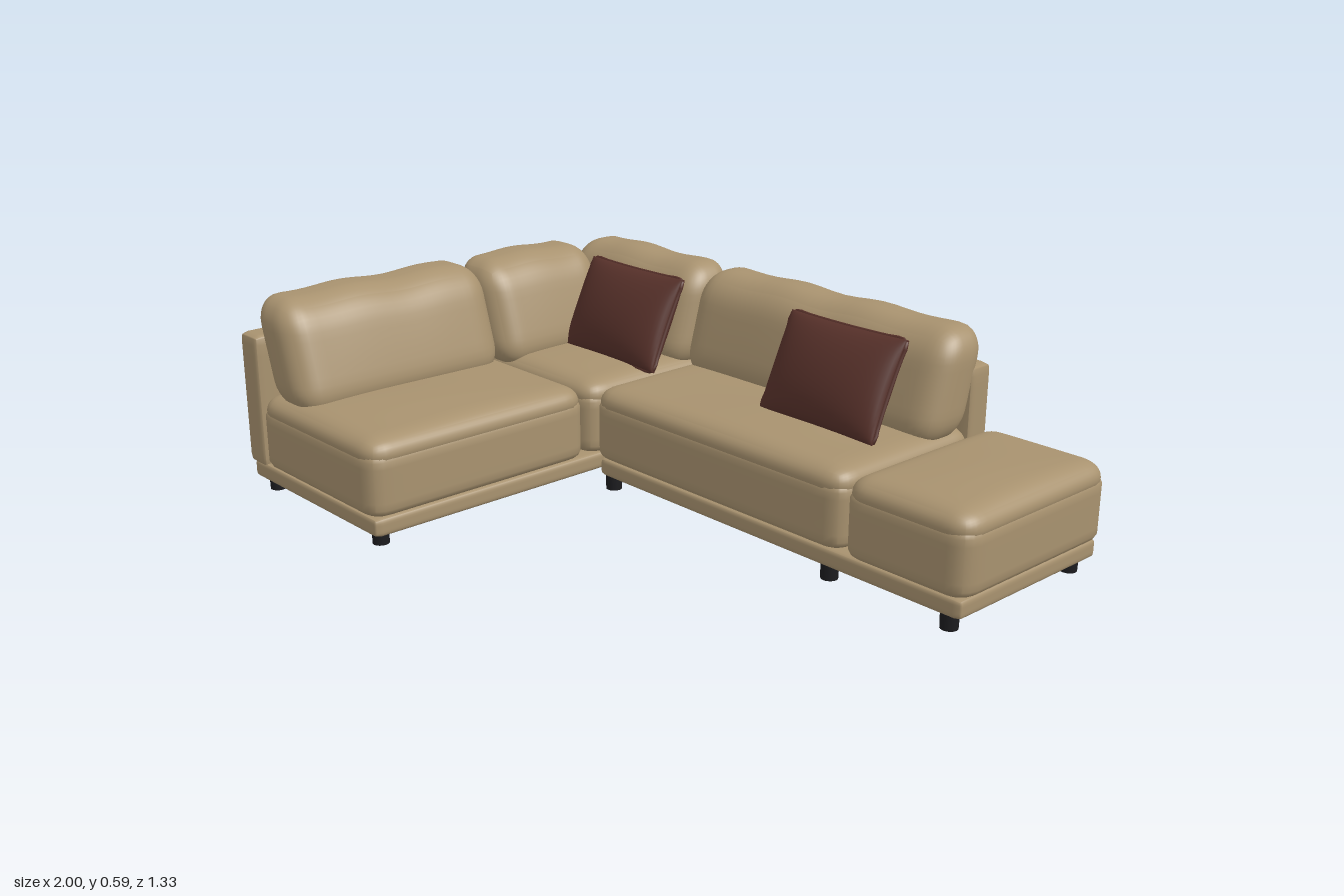
import * as THREE from 'three';
import { mergeVertices } from 'three/addons/utils/BufferGeometryUtils.js';

const fabric = new THREE.MeshStandardMaterial({ color: 0xa8926f });
fabric.name = 'tan upholstery';
const accent = new THREE.MeshStandardMaterial({ color: 0x57312a });
accent.name = 'dark brown pillow';
const legPaint = new THREE.MeshStandardMaterial({ color: 0x1c1c1f });
legPaint.name = 'black leg';

// Box grid with vertices crowded towards the edges, moved by rule(p, u), u being -1..1 on each axis
function shapedBox(size, segs, rule) {
  let geo = new THREE.BoxGeometry(2, 2, 2, ...segs);
  geo.deleteAttribute('uv');
  geo.deleteAttribute('normal');
  geo = mergeVertices(geo, 1e-5);
  const pos = geo.attributes.position;
  const u = new THREE.Vector3(), p = new THREE.Vector3();
  for (let i = 0; i < pos.count; i++) {
    u.fromBufferAttribute(pos, i);
    for (const a of ['x', 'y', 'z']) u[a] = Math.sin(u[a] * Math.PI / 2);
    p.set(u.x * size[0] / 2, u.y * size[1] / 2, u.z * size[2] / 2);
    rule(p, u);
    pos.setXYZ(i, p.x, p.y, p.z);
  }
  geo.computeVertexNormals();
  return geo;
}

// Softly rounded block with a separate corner radius on each axis
function softBox(size, radius, segs, extra = () => {}) {
  const half = new THREE.Vector3(...size).multiplyScalar(0.5);
  const r = new THREE.Vector3(...radius);
  const inner = half.clone().sub(r);
  const low = inner.clone().negate();
  const core = new THREE.Vector3();
  return shapedBox(size, segs, (p, u) => {
    core.copy(p).clamp(low, inner);
    p.sub(core).divide(r).normalize().multiply(r).add(core);
    extra(p, u);
  });
}

function add(parent, name, geo, material, x, y, z) {
  const mesh = new THREE.Mesh(geo, material);
  mesh.name = name;
  mesh.position.set(x, y, z);
  parent.add(mesh);
  return mesh;
}

// Block given by its limits on each axis
function block(parent, name, [x0, x1], [y0, y1], [z0, z1], r, segs = [12, 12, 12], extra) {
  const geo = softBox([x1 - x0, y1 - y0, z1 - z0], r, segs, extra);
  return add(parent, name, geo, fabric, (x0 + x1) / 2, (y0 + y1) / 2, (z0 + z1) / 2);
}

// Seat: upright body with a domed pillow top meeting it in a seam
function seat(parent, name, [x0, x1], [z0, z1]) {
  const g = new THREE.Group();
  g.name = name;
  block(g, 'seatBody', [x0, x1], [0.085, 0.275], [z0, z1], [0.06, 0.03, 0.06], [20, 12, 20]);
  const e = 0.002;
  block(g, 'seatTop', [x0 + e, x1 - e], [0.218, 0.306], [z0 + e, z1 - e], [0.065, 0.043, 0.065], [24, 12, 24],
    (p, u) => {
      if (p.y > 0) p.y += 0.01 * (1 - u.x ** 2) * (1 - u.z ** 2) * (1 + 0.25 * Math.sin(9 * p.x + 7 * p.z));
    });
  parent.add(g);
}

// Back cushion: leans backwards, with a slightly wavy top
function backCushion(parent, name, length, height, depth, lean, x, z, turn) {
  const geo = softBox([length, height, depth], [0.075, 0.085, 0.075], [32, 20, 16], (p, u) => {
    const t = p.y / height + 0.5;
    p.z -= lean * t;
    p.z += 0.008 * u.z * (1 - u.x ** 2) * (1 - u.y ** 2);
    p.y += 0.005 * t * t * Math.sin(p.x * 21 + length * 5) * (1 - u.x ** 2);
  });
  const mesh = add(parent, name, geo, fabric, x, 0.27 + height / 2, z);
  mesh.rotation.y = turn;
}

// Scatter pillow: lens section, pinched sides and a piped edge
function pillow(parent, name, x) {
  const w = 0.4, h = 0.285;
  const g = new THREE.Group();
  g.name = name;
  g.position.set(x, 0.435, -0.35);
  g.rotation.x = -0.44;
  const pinch = (p, u) => {
    p.x *= 1 - 0.025 * (1 - u.y ** 2);
    p.y *= 1 - 0.03 * (1 - u.x ** 2);
  };
  const geo = shapedBox([w, h, 0.01], [24, 20, 2], (p, u) => {
    pinch(p, u);
    p.z += u.z * 0.058 * ((1 - u.x ** 2) * (1 - u.y ** 2)) ** 0.5;
  });
  add(g, 'pillowBody', geo, accent, 0, 0, 0);
  const points = [];
  const corners = [[-1, -1], [1, -1], [1, 1], [-1, 1]];
  corners.forEach(([a, b], i) => {
    const [c, d] = corners[(i + 1) % 4];
    for (let k = 0.04; k < 1; k += 0.115) {
      const u = new THREE.Vector3(a + (c - a) * k, b + (d - b) * k, 0);
      const p = new THREE.Vector3(u.x * w / 2, u.y * h / 2, 0);
      pinch(p, u);
      points.push(p);
    }
  });
  const edge = new THREE.CatmullRomCurve3(points, true);
  add(g, 'pillowPiping', new THREE.TubeGeometry(edge, 80, 0.006, 6, true), accent, 0, 0, 0);
  parent.add(g);
}

export function createModel() {
  const sofa = new THREE.Group();
  sofa.name = 'cornerSofa';

  // Plinths
  const plinthR = [0.015, 0.015, 0.015];
  block(sofa, 'chaisePlinth', [-0.98, -0.345], [0.038, 0.092], [-0.65, 0.652], plinthR);
  block(sofa, 'longPlinth', [-0.313, 0.98], [0.038, 0.092], [-0.65, -0.088], plinthR);

  // Side and back panels
  const panelR = [0.018, 0.018, 0.018];
  block(sofa, 'sidePanel', [-1, -0.908], [0.08, 0.468], [-0.585, 0.655], panelR);
  block(sofa, 'backPanel', [-1, 0.61], [0.08, 0.472], [-0.667, -0.58], panelR);

  // Seats
  seat(sofa, 'chaiseSeat', [-0.912, -0.335], [-0.068, 0.664]);
  seat(sofa, 'cornerSeat', [-0.912, -0.335], [-0.62, -0.07]);
  seat(sofa, 'middleSeat', [-0.335, 0.61], [-0.62, -0.076]);
  seat(sofa, 'ottomanSeat', [0.612, 0.997], [-0.664, -0.074]);

  // Back cushions along the side and the back
  const quarter = Math.PI / 2;
  backCushion(sofa, 'chaiseBackCushion', 0.69, 0.317, 0.2, 0.1, -0.767, 0.3, quarter);
  backCushion(sofa, 'cornerSideCushion', 0.425, 0.315, 0.2, 0.1, -0.767, -0.257, quarter);
  backCushion(sofa, 'cornerBackCushion', 0.575, 0.308, 0.185, 0.085, -0.623, -0.495, 0);
  backCushion(sofa, 'middleBackCushion', 0.945, 0.308, 0.185, 0.085, 0.138, -0.495, 0);

  // Scatter pillows
  pillow(sofa, 'cornerPillow', -0.505);
  pillow(sofa, 'middlePillow', 0.33);

  // Legs
  const legGeo = new THREE.CylinderGeometry(0.024, 0.023, 0.042, 16);
  const spots = [
    [-0.935, 0.605], [-0.4, 0.605], [-0.935, -0.605], [-0.4, -0.605], [-0.28, -0.115],
    [0, -0.385], [0.477, -0.605], [0.553, -0.115], [0.933, -0.605], [0.933, -0.115],
  ];
  for (const [x, z] of spots) add(sofa, 'leg', legGeo, legPaint, x, 0.021, z);

  return sofa;
}
